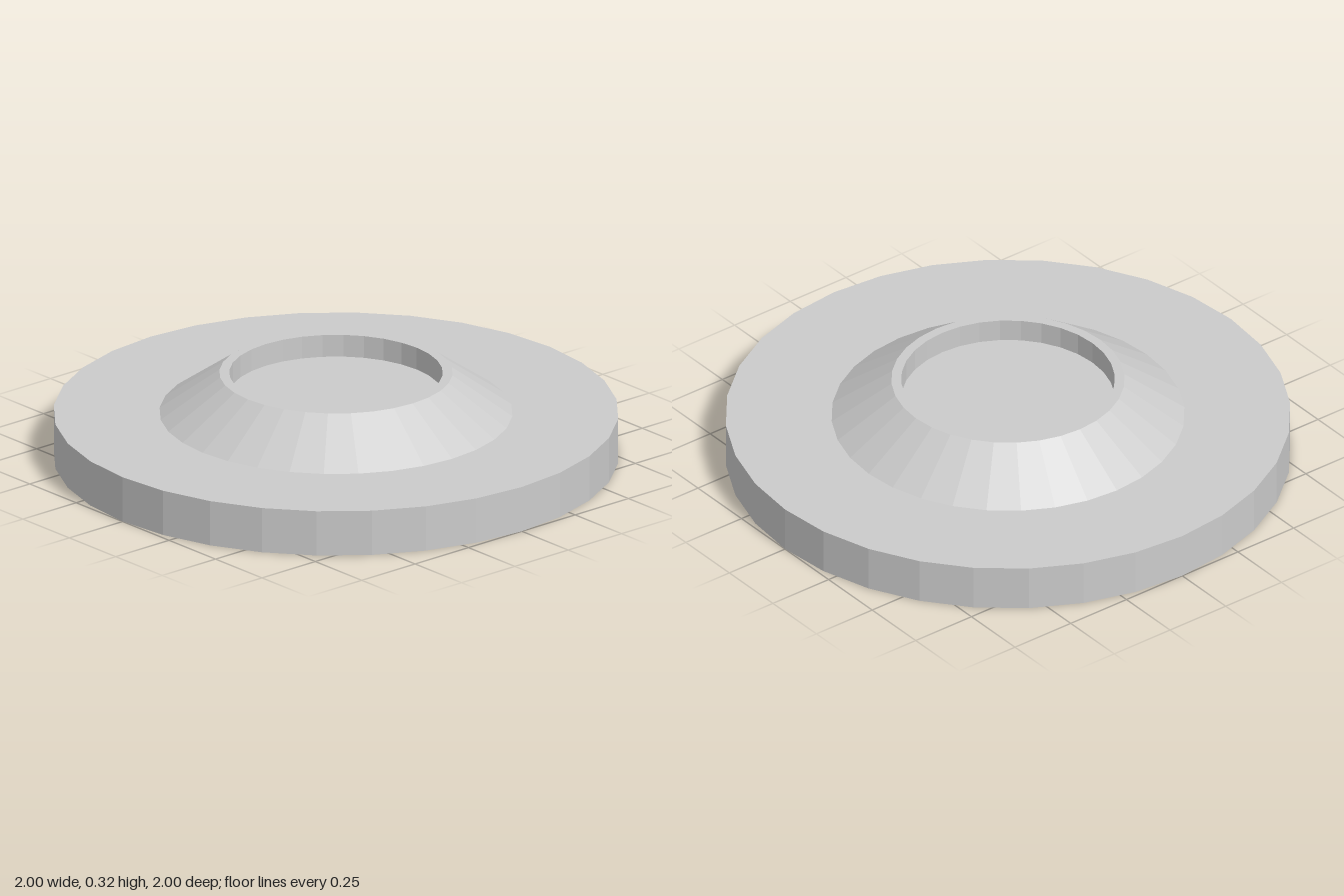
import * as THREE from 'three';

const SIDES = 32;
const BASE_HEIGHT = 0.167;

export function createModel() {
  const model = new THREE.Group();
  model.name = 'flangedDisc';
  const material = new THREE.MeshStandardMaterial({ color: 0xcccccc, flatShading: true });

  // Flat round plate
  const base = new THREE.Mesh(new THREE.CylinderGeometry(1, 1, BASE_HEIGHT, SIDES), material);
  base.name = 'basePlate';
  base.position.y = BASE_HEIGHT / 2;
  model.add(base);

  // Sloped collar, narrow rim, straight recess wall and recess floor
  const profile = [
    [0.625, BASE_HEIGHT],
    [0.413, 0.316],
    [0.378, 0.316],
    [0.378, 0.234],
    [0, 0.234],
  ].map(([r, y]) => new THREE.Vector2(r, y));
  const collar = new THREE.Mesh(new THREE.LatheGeometry(profile, SIDES), material);
  collar.name = 'recessedCollar';
  model.add(collar);

  return model;
}
